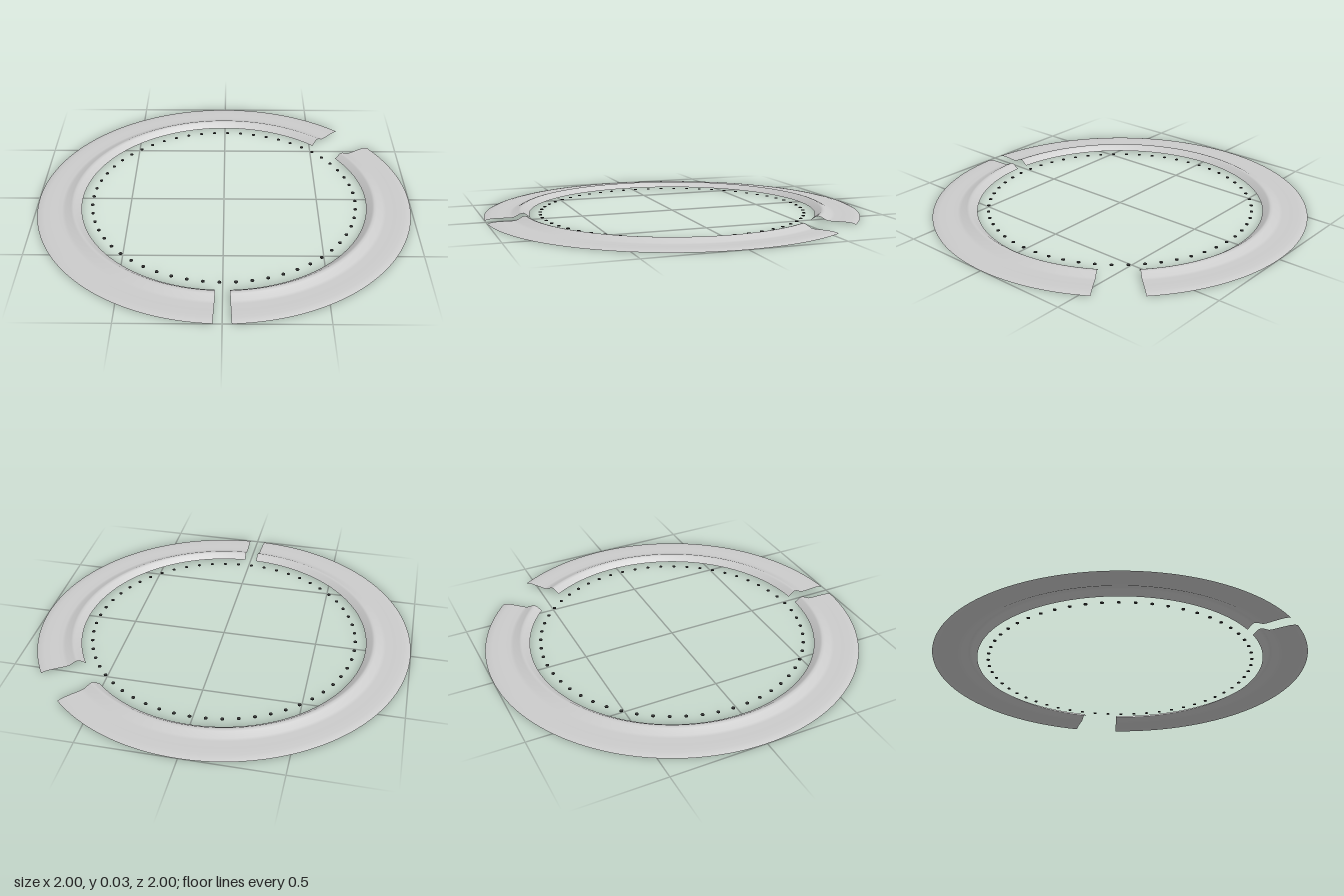
import * as THREE from 'three';

const RAD = Math.PI / 180;

export function createModel() {
  const group = new THREE.Group();
  const ringMat = new THREE.MeshStandardMaterial({ color: 0xcccccc, side: THREE.DoubleSide });
  const dotMat = new THREE.MeshStandardMaterial({ color: 0x333333 });

  // Thin sheet section, outer rim to inner rim, with a raised ridge
  const profile = [
    [1.0, 0.002], [0.985, 0.007], [0.963, 0.01], [0.92, 0.01], [0.87, 0.009],
    [0.852, 0.011], [0.82, 0.027], [0.808, 0.03], [0.796, 0.027], [0.765, 0.004],
  ].map(([r, y]) => new THREE.Vector2(r, y));

  // Two ring segments, angles measured from the front towards the left
  for (const [name, from, to] of [['shortRingSegment', 2.5, 123], ['longRingSegment', 137.2, 357.5]]) {
    const steps = Math.round((to - from) / 1.5);
    const mesh = new THREE.Mesh(
      new THREE.LatheGeometry(profile, steps, from * RAD, (to - from) * RAD), ringMat);
    mesh.name = name;
    group.add(mesh);
  }

  // Circle of small flat dots inside the ring
  const dots = new THREE.Group();
  dots.name = 'dotCircle';
  const dotGeo = new THREE.CylinderGeometry(0.009, 0.009, 0.004, 16);
  const count = 56;
  for (let i = 0; i < count; i++) {
    const a = (1.3 + (i * 360) / count) * RAD;
    const dot = new THREE.Mesh(dotGeo, dotMat);
    dot.name = 'dot';
    dot.position.set(0.708 * Math.sin(a), 0.004, -0.708 * Math.cos(a));
    dots.add(dot);
  }
  group.add(dots);
  return group;
}
